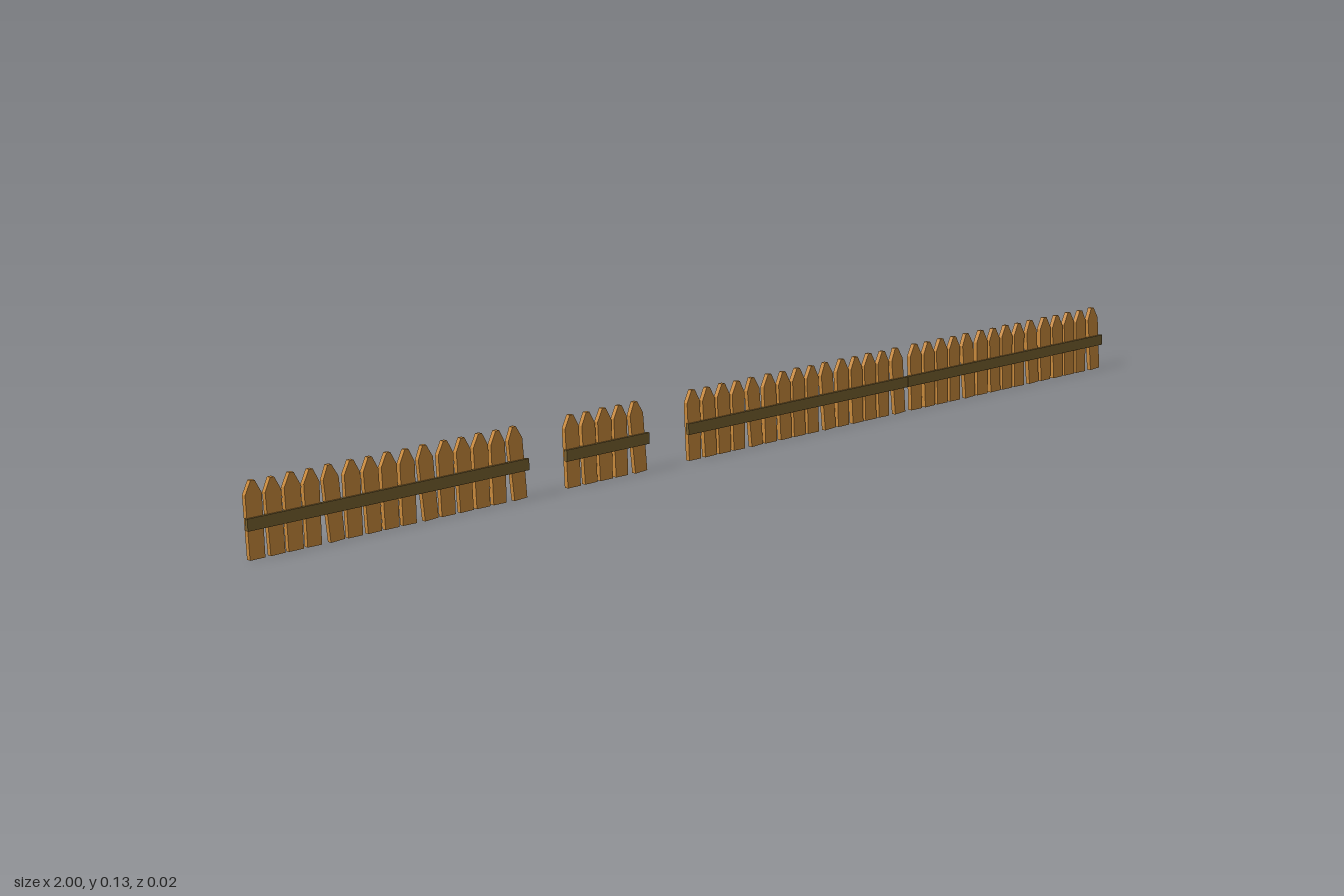
import * as THREE from 'three';

const PICKET_PITCH = 0.0353, PANEL_PITCH = 0.182, THICK = 0.009;

// Pointed board standing on y = 0
function picketGeometry(width, height) {
  const w = width / 2, shoulder = height - 0.022;
  const s = new THREE.Shape();
  s.moveTo(-w * 0.92, 0);
  s.lineTo(w * 0.92, 0);
  s.lineTo(w, shoulder);
  s.lineTo(w * 0.25, height);
  s.lineTo(-w * 0.25, height);
  s.lineTo(-w, shoulder);
  s.closePath();
  const g = new THREE.ExtrudeGeometry(s, { depth: THICK, bevelEnabled: false });
  g.translate(0, 0, -THICK / 2);
  return g;
}

export function createModel() {
  const wood = new THREE.MeshStandardMaterial({ color: 0xc98a3c, flatShading: true });
  const darkWood = new THREE.MeshStandardMaterial({ color: 0x77602f, flatShading: true });

  // Each panel repeats the same five slightly uneven boards: [width, height, sideways tilt]
  const boards = [
    [0.030, 0.126, 0.0],
    [0.029, 0.125, 0.015],
    [0.030, 0.126, 0.0],
    [0.029, 0.125, -0.01],
    [0.029, 0.126, 0.06],
  ].map(([w, h, tilt]) => ({ geometry: picketGeometry(w, h), tilt }));
  const railGeometry = new THREE.BoxGeometry(PANEL_PITCH, 0.02, 0.007);

  function makePanel(x) {
    const panel = new THREE.Group();
    panel.name = 'fencePanel';
    panel.position.x = x;
    boards.forEach(({ geometry, tilt }, i) => {
      const picket = new THREE.Mesh(geometry, wood);
      picket.name = 'picket';
      // Boards lean slightly backwards; tilted ones swing their foot outwards
      picket.position.set(i * PICKET_PITCH + tilt * 0.115, 0, 0.003);
      picket.rotation.set(-0.042, 0, tilt);
      panel.add(picket);
    });
    // Cross rail along the front
    const rail = new THREE.Mesh(railGeometry, darkWood);
    rail.name = 'rail';
    rail.position.set(2 * PICKET_PITCH + 0.004, 0.058, 0.0055);
    rail.rotation.x = -0.042;
    panel.add(rail);
    return panel;
  }

  // Runs of panels with gaps between: [x of first picket, panel count]
  const fence = new THREE.Group();
  fence.name = 'picketFence';
  const runs = [[-0.984, 3], [-0.358, 1], [-0.086, 3], [0.47, 3]];
  for (const [start, count] of runs) {
    const run = new THREE.Group();
    run.name = 'fenceRun';
    for (let i = 0; i < count; i++) run.add(makePanel(start + i * PANEL_PITCH));
    fence.add(run);
  }
  // Short rail piece bridging the two adjoining runs
  const bridge = new THREE.Mesh(new THREE.BoxGeometry(0.02, 0.02, 0.007), darkWood);
  bridge.name = 'railJoint';
  bridge.position.set(0.455, 0.058, 0.0055);
  bridge.rotation.x = -0.042;
  fence.add(bridge);
  return fence;
}
